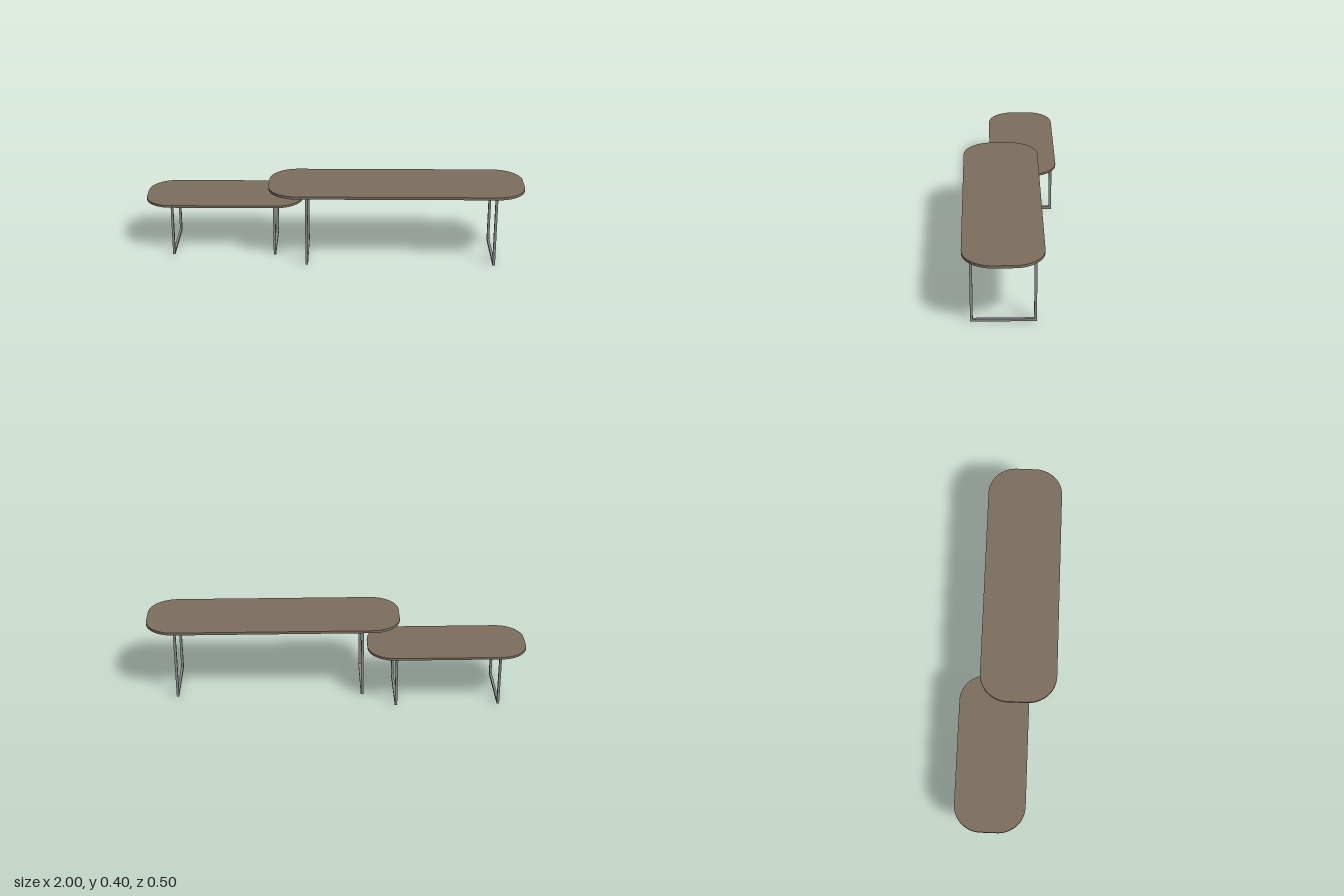
import * as THREE from 'three';

const wood = new THREE.MeshStandardMaterial({ color: 0x7c6e5e });
wood.name = 'taupe wood';
const metal = new THREE.MeshStandardMaterial({ color: 0x87888a });
metal.name = 'grey metal';

// Flat slab with rounded corners, lying between heights y0 and y1
function makeTop(x0, x1, z0, z1, y0, y1, r) {
  const s = new THREE.Shape();
  const a = -z1, b = -z0;
  s.moveTo(x0 + r, a);
  s.lineTo(x1 - r, a);
  s.absarc(x1 - r, a + r, r, -Math.PI / 2, 0);
  s.lineTo(x1, b - r);
  s.absarc(x1 - r, b - r, r, 0, Math.PI / 2);
  s.lineTo(x0 + r, b);
  s.absarc(x0 + r, b - r, r, Math.PI / 2, Math.PI);
  s.lineTo(x0, a + r);
  s.absarc(x0 + r, a + r, r, Math.PI, Math.PI * 1.5);
  const geo = new THREE.ExtrudeGeometry(s, { depth: y1 - y0, bevelEnabled: false, curveSegments: 16 });
  geo.rotateX(-Math.PI / 2).translate(0, y0, 0);
  const top = new THREE.Mesh(geo, wood);
  top.name = 'tableTop';
  return top;
}

// Closed rectangular loop of square bar, standing across the table at x
function makeFrame(x, z0, z1, height, bar, width) {
  const s = new THREE.Shape();
  s.moveTo(-z1, 0).lineTo(-z0, 0).lineTo(-z0, height).lineTo(-z1, height).closePath();
  const hole = new THREE.Path();
  hole.moveTo(-z1 + bar, bar).lineTo(-z1 + bar, height - bar)
    .lineTo(-z0 - bar, height - bar).lineTo(-z0 - bar, bar).closePath();
  s.holes.push(hole);
  const geo = new THREE.ExtrudeGeometry(s, { depth: width, bevelEnabled: false });
  geo.translate(0, 0, -width / 2).rotateY(Math.PI / 2).translate(x, 0, 0);
  const frame = new THREE.Mesh(geo, metal);
  frame.name = 'legFrame';
  return frame;
}

function makeTable(name, top, frames) {
  const table = new THREE.Group();
  table.name = name;
  table.add(top, ...frames);
  return table;
}

export function createModel() {
  const model = new THREE.Group();
  model.name = 'nestingTables';
  model.add(
    makeTable('tallTable',
      makeTop(-0.34, 1, -0.148, 0.252, 0.386, 0.4, 0.15),
      [-0.139, 0.845].map((x) => makeFrame(x, -0.111, 0.214, 0.386, 0.0135, 0.0135))),
    makeTable('lowTable',
      makeTop(-1, -0.165, -0.252, 0.112, 0.278, 0.29, 0.14),
      [-0.853, -0.313].map((x) => makeFrame(x, -0.232, 0.095, 0.278, 0.0145, 0.0125))),
  );
  return model;
}
